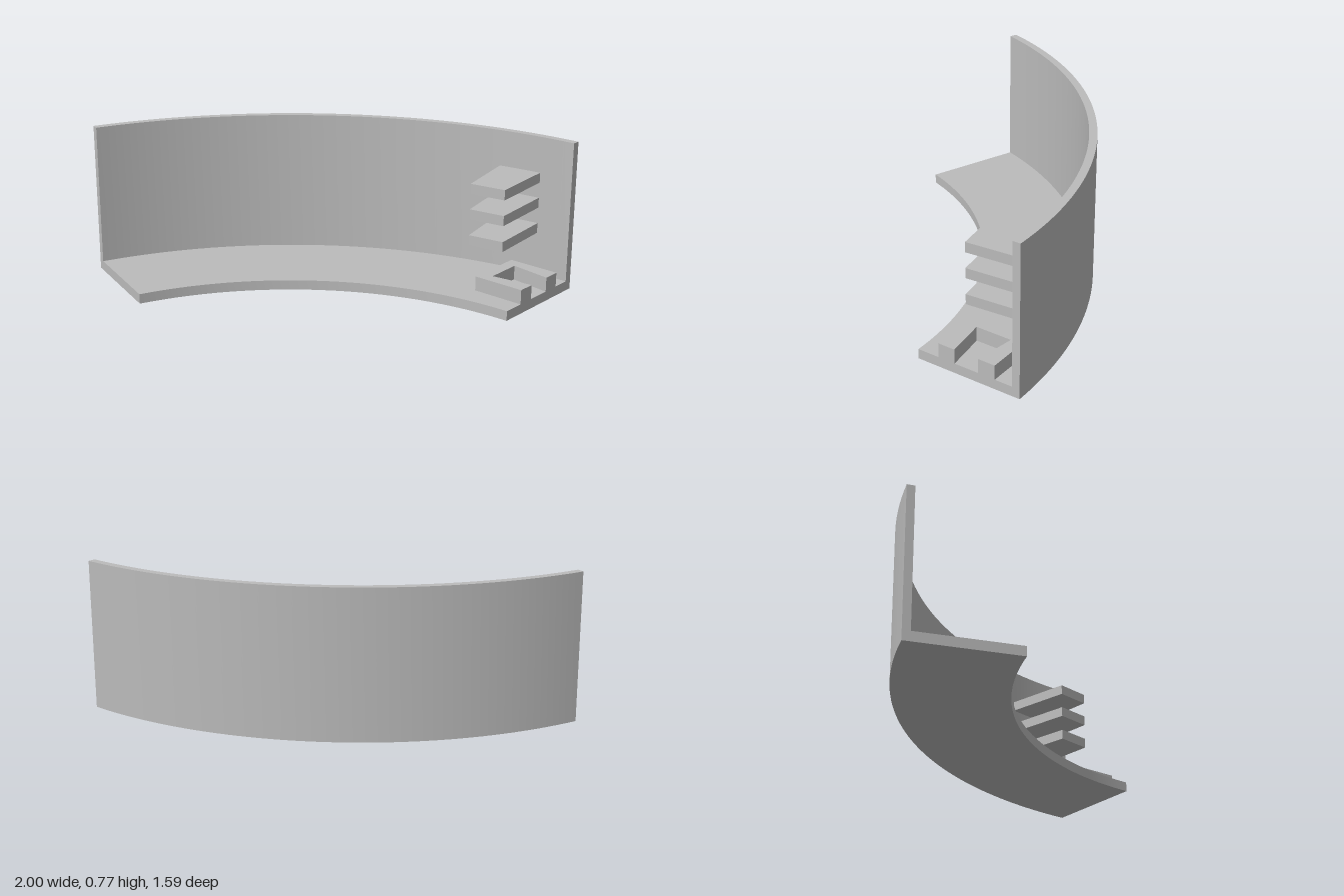
import * as THREE from 'three';
import { toCreasedNormals } from 'three/addons/utils/BufferGeometryUtils.js';

// Centre of the curve in plan, and its sweep
const CX = 1, CZ = 1.33;
const START = Math.PI, SWEEP = THREE.MathUtils.degToRad(70);

export function createModel() {
  const model = new THREE.Group();
  const grey = new THREE.MeshStandardMaterial({ color: 0xbbbbbb, side: THREE.DoubleSide });
  grey.name = 'plain grey';

  const add = (name, geometry) => {
    const mesh = new THREE.Mesh(geometry, grey);
    mesh.name = name;
    model.add(mesh);
    return mesh;
  };

  // Upright prism from [x, z] plan corners
  const prism = (name, plan, y, height) => {
    const shape = new THREE.Shape(plan.map(([x, z]) => new THREE.Vector2(x, -z)));
    const geometry = new THREE.ExtrudeGeometry(shape, { depth: height, bevelEnabled: false });
    geometry.rotateX(-Math.PI / 2);
    add(name, geometry).position.y = y;
  };

  // L-shaped section: floor with a thin wall on its outer edge
  const section = [
    [1.57, 0], [2.128, 0], [2.128, 0.775], [2.088, 0.775], [2.088, 0.05], [1.57, 0.05],
  ].map(([r, y]) => new THREE.Vector2(r, y));

  const sweep = new THREE.LatheGeometry([...section, section[0]], 48, START, SWEEP);
  add('curvedFloorAndWall', toCreasedNormals(sweep, 0.5)).position.set(CX, 0, CZ);

  // Flat faces closing both ends of the sweep
  for (const [name, phi] of [['leftEnd', START], ['rightEnd', START + SWEEP]]) {
    const cap = add(name, new THREE.ShapeGeometry(new THREE.Shape(section)));
    cap.position.set(CX, 0, CZ);
    cap.rotation.y = phi - Math.PI / 2;
  }

  // Three shelves projecting from the wall
  const shelfPlan = [[0.597, -0.722], [0.667, -0.372], [0.85, -0.4], [0.82, -0.752]];
  [0.27, 0.405, 0.537].forEach((y, i) => prism(`shelf${i + 1}`, shelfPlan, y, 0.052));

  // Low block with a dovetail slot open at the end
  prism('dovetailSocket', [
    [1, -0.355], [0.73, -0.355], [0.73, -0.665], [1, -0.665],
    [1, -0.575], [0.79, -0.605], [0.79, -0.415], [1, -0.445],
  ], 0.05, 0.074);

  return model;
}
